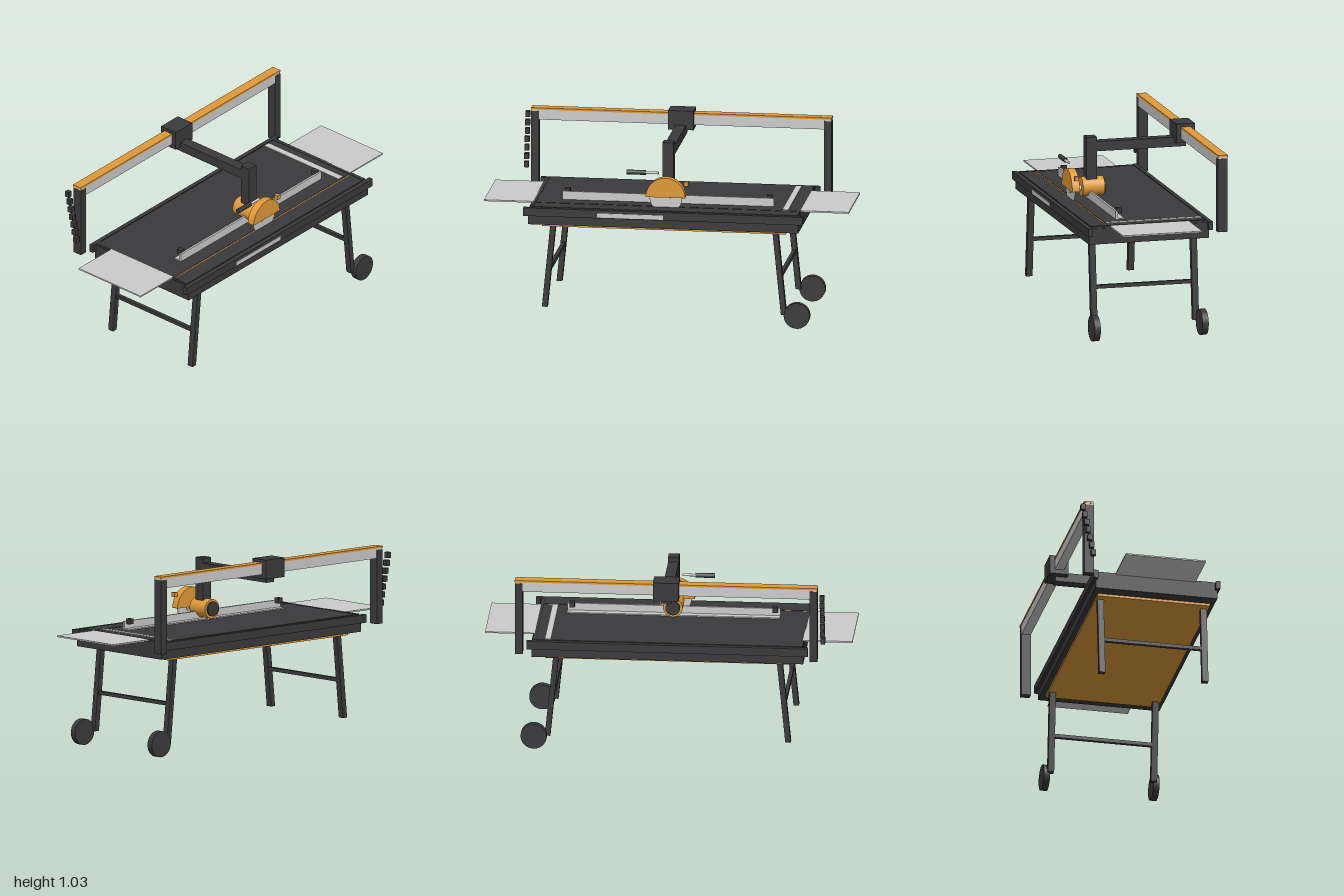
import * as THREE from 'three';

const mat = (color) => new THREE.MeshStandardMaterial({ color });

export function createModel() {
  const model = new THREE.Group();
  const dark = mat(0x3a3a3c), orange = mat(0xe09a38), grey = mat(0xcccccc);

  const add = (name, geometry, material, x = 0, y = 0, z = 0) => {
    const mesh = new THREE.Mesh(geometry, material);
    mesh.name = name;
    mesh.position.set(x, y, z);
    model.add(mesh);
    return mesh;
  };
  // box given by its extents on each axis
  const box = (name, m, [x0, x1], [y0, y1], [z0, z1]) =>
    add(name, new THREE.BoxGeometry(x1 - x0, y1 - y0, z1 - z0), m,
      (x0 + x1) / 2, (y0 + y1) / 2, (z0 + z1) / 2);
  // cylinder lying along z or x
  const rod = (name, m, r, length, axis, x, y, z, sides = 32) => {
    const g = new THREE.CylinderGeometry(r, r, length, sides);
    if (axis === 'z') g.rotateX(Math.PI / 2); else g.rotateZ(Math.PI / 2);
    return add(name, g, m, x, y, z);
  };

  // table body, base panel and top plates with the cutting slot
  box('tableBody', dark, [-0.74, 0.74], [0.538, 0.625], [-0.29, 0.385]);
  box('basePanel', orange, [-0.668, 0.668], [0.524, 0.54], [-0.263, 0.36]);
  box('rearTopPlate', dark, [-0.715, 0.715], [0.62, 0.634], [-0.276, 0.271]);
  box('frontTopPlate', dark, [-0.715, 0.715], [0.62, 0.634], [0.279, 0.368]);
  box('cuttingSlot', orange, [-0.715, 0.715], [0.62, 0.632], [0.271, 0.279]);
  box('sideGauge', grey, [0.635, 0.668], [0.63, 0.638], [-0.27, 0.265]);

  // front and back rails, with the scale plate on the front one
  box('frontRail', dark, [-0.766, 0.766], [0.587, 0.632], [0.372, 0.397]);
  box('backRail', dark, [-0.766, 0.766], [0.587, 0.632], [-0.306, -0.282]);
  box('scalePlate', grey, [-0.36, 0], [0.592, 0.616], [0.39, 0.4]);

  for (const s of [-1, 1]) {
    const span = (a, b) => (s > 0 ? [a, b] : [-b, -a]);
    box('edgeStrip', dark, span(0.715, 0.735), [0.615, 0.636], [-0.28, 0.37]);
    box('extensionSheet', grey, span(0.73, 1), [0.628, 0.636], [-0.18, 0.266]);

    // splayed legs with a crossbar
    for (const z of [0.334, -0.238]) {
      const leg = new THREE.BoxGeometry(0.03, 0.46, 0.034);
      const p = leg.attributes.position;
      for (let i = 0; i < p.count; i++) p.setX(i, p.getX(i) + s * (0.632 - p.getY(i) * 0.1));
      leg.computeVertexNormals();
      add('leg', leg, dark, 0, 0.3, z);
    }
    box('legCrossbar', dark, span(0.622, 0.642), [0.269, 0.289], [-0.222, 0.318]);

    // gantry posts
    box('gantryPost', dark, span(0.781, 0.823), [0.584, 0.991], [-0.372, -0.319]);
  }

  // wheels on the left end
  for (const z of [0.352, -0.256]) rod('wheel', dark, 0.071, 0.034, 'z', 0.729, 0.071, z, 40);

  // lock knob on the left end
  rod('knobShaft', dark, 0.007, 0.05, 'x', 0.755, 0.608, 0.047, 12);
  box('lockKnob', dark, [0.76, 0.815], [0.594, 0.622], [0.032, 0.062]);

  // angle fence with its two clamps
  box('fenceBase', grey, [-0.58, 0.58], [0.63, 0.64], [0.142, 0.182]);
  box('fenceFace', grey, [-0.58, 0.58], [0.634, 0.68], [0.178, 0.19]);
  for (const x of [-0.553, 0.553]) box('fenceClamp', dark, [x - 0.014, x + 0.014], [0.665, 0.694], [0.15, 0.18]);

  // gantry beam, carriage, arm and column
  box('gantryBeam', grey, [-0.822, 0.822], [0.945, 1.0], [-0.371, -0.32]);
  box('beamCap', orange, [-0.824, 0.824], [1.0, 1.01], [-0.374, -0.32]);
  box('carriage', dark, [-0.07, 0.07], [0.921, 1.027], [-0.4, -0.295]);
  box('arm', dark, [-0.029, 0.029], [0.894, 0.947], [-0.36, 0.15]);
  box('headColumn', dark, [-0.03, 0.03], [0.735, 0.974], [0.142, 0.202]);

  // cable carrier links hanging beside the right post
  for (let i = 0; i < 7; i++)
    add('cableLink', new THREE.BoxGeometry(0.025, 0.032, 0.026), dark, -0.85, 0.959 - 0.0445 * i, -0.385 + 0.0095 * i);

  // motor
  rod('motor', orange, 0.053, 0.123, 'z', 0, 0.697, 0.1635);
  rod('motorCap', dark, 0.04, 0.012, 'z', 0, 0.697, 0.098);
  rod('spindle', grey, 0.015, 0.07, 'z', 0, 0.69, 0.25, 20);

  // blade under a half-round guard
  rod('blade', grey, 0.09, 0.004, 'z', 0, 0.69, 0.281, 48);
  rod('bladeFlange', grey, 0.025, 0.012, 'z', 0, 0.69, 0.281, 24);
  const half = new THREE.Shape();
  half.absarc(0, 0, 0.108, 0, Math.PI);
  half.closePath();
  add('bladeGuard', new THREE.ExtrudeGeometry(half, { depth: 0.042, bevelEnabled: false, curveSegments: 24 }),
    orange, 0, 0.692, 0.26);
  box('guardLatch', orange, [0.101, 0.124], [0.756, 0.78], [0.268, 0.292]);

  // pull handle
  rod('handleRod', grey, 0.007, 0.09, 'x', -0.085, 0.823, 0.28, 16);
  rod('handleGrip', dark, 0.013, 0.105, 'x', -0.163, 0.823, 0.28, 20);

  return model;
}
